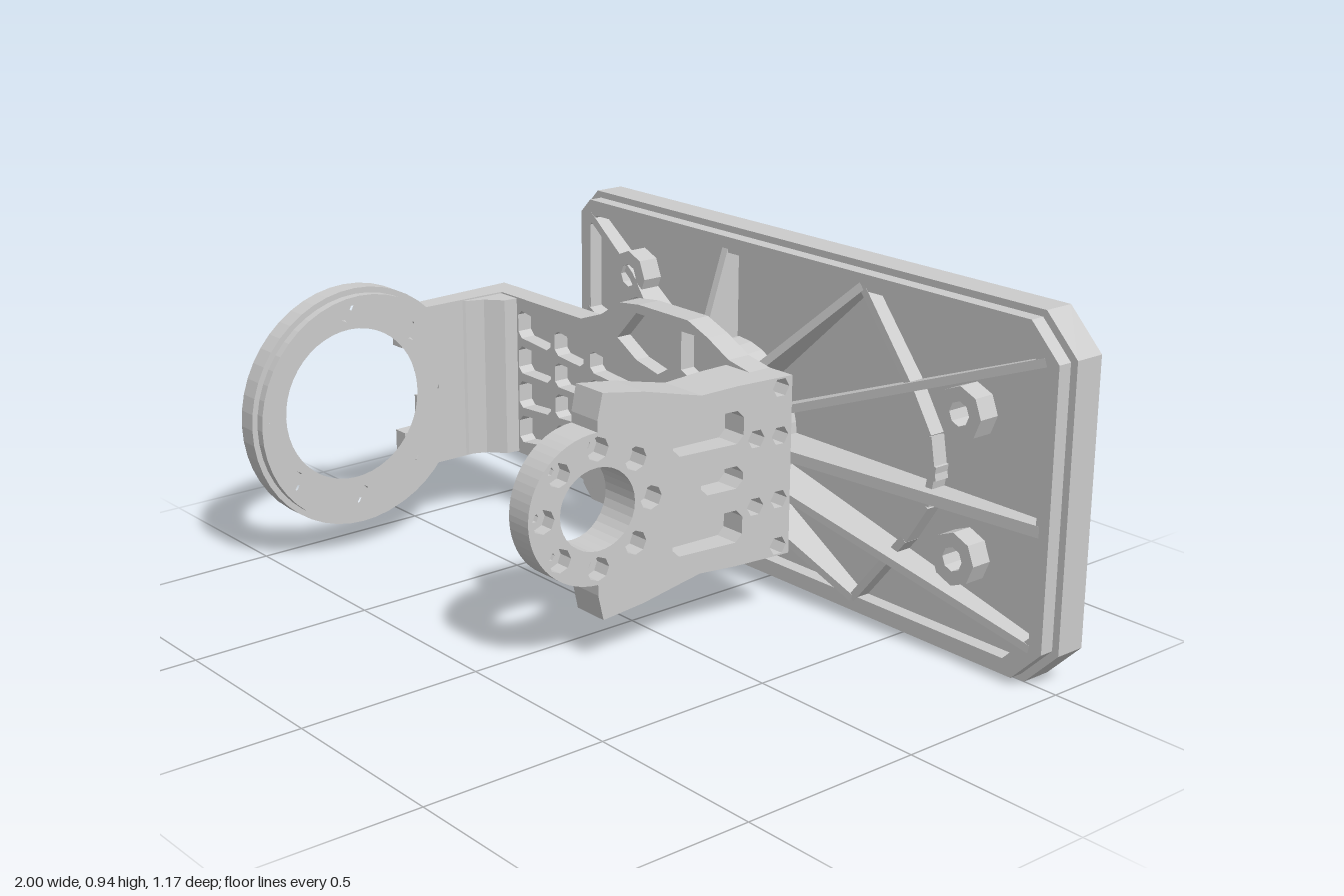
import * as THREE from 'three';

const CY = 0.414;            // height of the bracket's symmetry plane
const RZ = 0.245;            // z of the bearing axis
const mat = new THREE.MeshStandardMaterial({ color: 0xcccccc, flatShading: true });

const flipY = ([x, y]) => [x, 2 * CY - y];
// closed outline from an upper half, mirrored about CY
const mirrored = (pts) => [...pts, ...pts.map(flipY).reverse()];
const poly = (pts, C = THREE.Shape) => new C(pts.map(([x, y]) => new THREE.Vector2(x, y)));
const hole = (pts) => poly(pts, THREE.Path);
const arc = (x, y, r, a0, a1, n) => Array.from({ length: n + 1 }, (_, i) => {
  const a = a0 + ((a1 - a0) * i) / n;
  return [x + r * Math.cos(a), y + r * Math.sin(a)];
});
const circle = (x, y, r, n = 24) => arc(x, y, r, 0, Math.PI * 2, n).slice(0, n);
// rectangle with cut corners
const cutRect = (x0, y0, x1, y1, cl, cr = cl) => [
  [x0 + cl, y0], [x1 - cr, y0], [x1, y0 + cr], [x1, y1 - cr],
  [x1 - cr, y1], [x0 + cl, y1], [x0, y1 - cl], [x0, y0 + cl]];

function add(parent, name, geo) {
  const m = new THREE.Mesh(geo, mat);
  m.name = name;
  parent.add(m);
}
const extrude = (shape, depth) => new THREE.ExtrudeGeometry(shape, { depth, bevelEnabled: false });

// flat slab between z0 and z1
function slab(parent, name, pts, holes, z0, z1) {
  const s = poly(pts);
  s.holes = holes.map(hole);
  add(parent, name, extrude(s, z1 - z0).translate(0, 0, z0));
}
// upright slab with outline in (z, y); its two faces lie at xa(z) and xb(z)
function sideSlab(parent, name, pts, holes, xa, xb) {
  const f = (p) => p.map(([z, y]) => [-z, y]);
  const s = poly(f(pts));
  s.holes = holes.map((h) => hole(f(h)));
  const g = extrude(s, 1).rotateY(Math.PI / 2);
  const p = g.attributes.position;
  for (let i = 0; i < p.count; i++) {
    const z = p.getZ(i);
    p.setX(i, p.getX(i) > 0.5 ? xb(z) : xa(z));
  }
  g.computeVertexNormals();
  add(parent, name, g);
}
const line = (z0, x0, z1, x1) => (z) => x0 + ((z - z0) / (z1 - z0)) * (x1 - x0);
const at = (x) => () => x;

// upright rib on the panel from a to b, top height going from za to zb
function rib(parent, a, b, za, zb, t = 0.022) {
  const L = Math.hypot(b[0] - a[0], b[1] - a[1]), base = -0.51;
  const g = extrude(poly([[0, base], [L, base], [L, zb], [0, za]]), t).translate(0, 0, -t / 2);
  g.rotateX(Math.PI / 2).rotateZ(Math.atan2(b[1] - a[1], b[0] - a[0])).translate(a[0], a[1], 0);
  add(parent, 'panelRib', g);
}

function buildPanel() {
  const g = new THREE.Group();
  g.name = 'ribbedPanel';
  slab(g, 'panelBase', cutRect(-0.8, 0, 1, 0.94, 0.04, 0.1), [], -0.585, -0.5);
  slab(g, 'panelRim', cutRect(-0.785, 0.018, 0.98, 0.922, 0.04, 0.09),
    [cutRect(-0.745, 0.06, 0.94, 0.88, 0.03, 0.08)], -0.5, -0.46);

  // hub that carries the bracket
  const hub = [[0, -0.5], [0.23, -0.5], [0.22, -0.36], [0.25, -0.36], [0.25, -0.34], [0, -0.34]];
  const lathe = new THREE.LatheGeometry(hub.map(([r, y]) => new THREE.Vector2(r, y)), 32);
  add(g, 'hub', lathe.rotateX(Math.PI / 2).translate(-0.15, CY, 0));

  // sloping ribs: inner ends mirror about the hub, outer ends about the panel
  const lower = (p) => (Math.hypot(p[0] + 0.15, p[1] - CY) < 0.3 ? flipY(p) : [p[0], 0.94 - p[1]]);
  const ribs = [
    [[-0.17, 0.63], [-0.17, 0.89], -0.37, -0.46],
    [[0.0, 0.58], [0.34, 0.89], -0.37, -0.46],
    [[0.06, 0.5], [0.94, 0.83], -0.37, -0.46],
    [[-0.3, 0.57], [-0.55, 0.74], -0.37, -0.45],
    [[-0.55, 0.74], [-0.75, 0.88], -0.45, -0.46],
    [[-0.36, 0.48], [-0.76, 0.6], -0.37, -0.46],
    [[0.34, 0.89], [0.52, 0.67], -0.46, -0.455],
    [[0.52, 0.67], [0.59, 0.56], -0.455, -0.455],
    [[0.59, 0.56], [0.61, 0.45], -0.455, -0.455],
  ];
  for (const [a, b, za, zb] of ribs) {
    rib(g, a, b, za, zb);
    rib(g, lower(a), lower(b), za, zb);
  }
  rib(g, [0.06, CY], [0.95, CY], -0.37, -0.46, 0.03);
  // screw bosses
  for (const [x, y] of [[-0.55, 0.743], [-0.55, 0.203], [0.7, 0.65], [0.7, 0.275]])
    slab(g, 'screwBoss', circle(x, y, 0.07, 8), [circle(x, y, 0.032, 8)], -0.5, -0.44);
  return g;
}

function buildBackPlate() {
  const g = new THREE.Group();
  g.name = 'bracketBackPlate';
  const outline = mirrored([[-0.97, 0.648], [-0.55, 0.648], [-0.46, 0.68], [-0.38, 0.73], [-0.3, 0.74],
    [-0.1, 0.74], [-0.02, 0.71], [0.06, 0.67], [0.14, 0.655]]);
  const pockets = [];
  // small pockets in rows that converge towards the hub
  for (const [x0, x1] of [[-0.84, -0.69], [-0.67, -0.54], [-0.51, -0.34]]) {
    const k = (x) => 1 - 0.7 * (x + 0.85);
    for (const o of [-0.16, -0.053, 0.053, 0.16]) {
      const p = (x, d) => [x, CY + (o + d) * k(x)];
      const h = 0.041, c = 0.016;
      pockets.push([p(x0 + c, -h), p(x1 - c, -h), p(x1, -h + c), p(x1, h - c),
        p(x1 - c, h), p(x0 + c, h), p(x0, h - c), p(x0, -h + c)]);
    }
  }
  // large pockets around the hub
  for (const p of [
    [[-0.39, 0.63], [-0.31, 0.585], [-0.22, 0.565], [-0.16, 0.6], [-0.15, 0.67], [-0.2, 0.715], [-0.31, 0.715]],
    [[-0.125, 0.6], [-0.055, 0.57], [0.025, 0.635], [0.01, 0.665], [-0.06, 0.705], [-0.125, 0.705]],
    [[-0.03, 0.55], [0, 0.49], [0.045, 0.5], [0.045, 0.615]],
  ]) pockets.push(p, p.map(flipY));
  const screws = [[-0.235, 0.5], [-0.175, 0.53], [-0.03, 0.455]].flatMap((p) => [p, flipY(p)])
    .map(([x, y]) => circle(x, y, 0.024, 6));
  slab(g, 'plateWeb', outline, [], -0.34, -0.315);
  slab(g, 'plateRibs', outline, [...pockets, ...screws, circle(-0.15, CY, 0.02, 8)], -0.315, -0.27);
  return g;
}

// eight holes around the bearing axis
const boltRing = (R, r, n) => circle(RZ, CY, R, 8).map(([z, y]) => circle(z, y, r, n));

function buildLargeArm() {
  const g = new THREE.Group();
  g.name = 'largeRingArm';
  // web, hollowed to follow the ring
  sideSlab(g, 'armWeb', [[-0.34, 0.18], [-0.34, 0.648], [0.01, 0.648],
    ...arc(RZ, CY, 0.29, Math.PI - 0.8, Math.PI + 0.8, 8), [0.01, 0.18]], [], at(-0.955), at(-0.92));
  // ribs along the outside
  const outer = line(-0.34, -1, 0.58, -0.945);
  for (const [y0, y1, z] of [[0.54, 0.648, 0.07], [0.45, 0.5, 0], [0.328, 0.378, 0], [0.18, 0.288, 0.07]])
    sideSlab(g, 'armRib', [[-0.34, y0], [-0.34, y1], [z, y1], [z, y0]], [], outer, at(-0.93));
  // inside corner gusset, drawn in x and -z
  const gusset = poly([[-0.93, 0.28], [-0.93, 0.12], [-0.915, 0.14], [-0.895, 0.19], [-0.85, 0.23], [-0.845, 0.28]]);
  add(g, 'cornerGusset', extrude(gusset, 0.46).rotateX(-Math.PI / 2).translate(0, 0.184, 0));

  // bearing ring: rim, step and scalloped flange
  const c = (r) => circle(RZ, CY, r, 48);
  sideSlab(g, 'ringRim', c(0.338), [c(0.305)], at(-0.945), at(-0.89));
  sideSlab(g, 'ringStep', c(0.322), [c(0.3)], at(-0.89), at(-0.865));
  const bolts = boltRing(0.28, 0.014, 6);
  sideSlab(g, 'ringFlange', c(0.31), [c(0.215), ...bolts], at(-0.945), at(-0.92));
  const scallop = circle(0, 0, 1, 64).map(([u, v], i) => {
    const r = i % 8 < 2 || i % 8 > 6 ? 0.245 : 0.285;
    return [RZ + r * u, CY + r * v];
  });
  sideSlab(g, 'ringScallops', c(0.31), [scallop, ...bolts], at(-0.92), at(-0.895));
  return g;
}

function buildSmallArm() {
  const g = new THREE.Group();
  g.name = 'smallRingArm';
  const outline = mirrored([[-0.34, 0.655], [-0.17, 0.655], [-0.06, 0.65], [0.005, 0.665], [0.11, 0.69],
    [0.23, 0.708], [0.245, 0.64], ...arc(RZ, CY, 0.197, Math.PI / 2, 0.04, 14)]);
  const inner = line(-0.34, 0.05, 0.44, 0.072), outer = line(-0.34, 0.225, 0.44, 0.148);
  const mid = (z) => inner(z) + 0.55 * (outer(z) - inner(z));
  const bore = circle(RZ, CY, 0.108, 32);
  // long pockets and screw sockets on the outside
  const long = cutRect(-0.19, 0.503, 0.025, 0.59, 0.02);
  const pockets = [long, long.map(flipY), cutRect(-0.19, CY - 0.03, -0.06, CY + 0.03, 0.02)];
  for (const [z, y] of [[-0.23, 0.505], [-0.305, 0.628], [-0.305, 0.5]])
    pockets.push(circle(z, y, 0.026, 6), circle(z, 2 * CY - y, 0.026, 6));
  sideSlab(g, 'armInnerLayer', outline, [bore, ...boltRing(0.155, 0.013, 6)], inner, mid);
  sideSlab(g, 'armOuterLayer', outline, [bore, ...boltRing(0.155, 0.032, 8), ...pockets], mid, outer);
  return g;
}

export function createModel() {
  const root = new THREE.Group();
  root.name = 'panelWithBracket';
  root.add(buildPanel(), buildBackPlate(), buildLargeArm(), buildSmallArm());
  return root;
}
